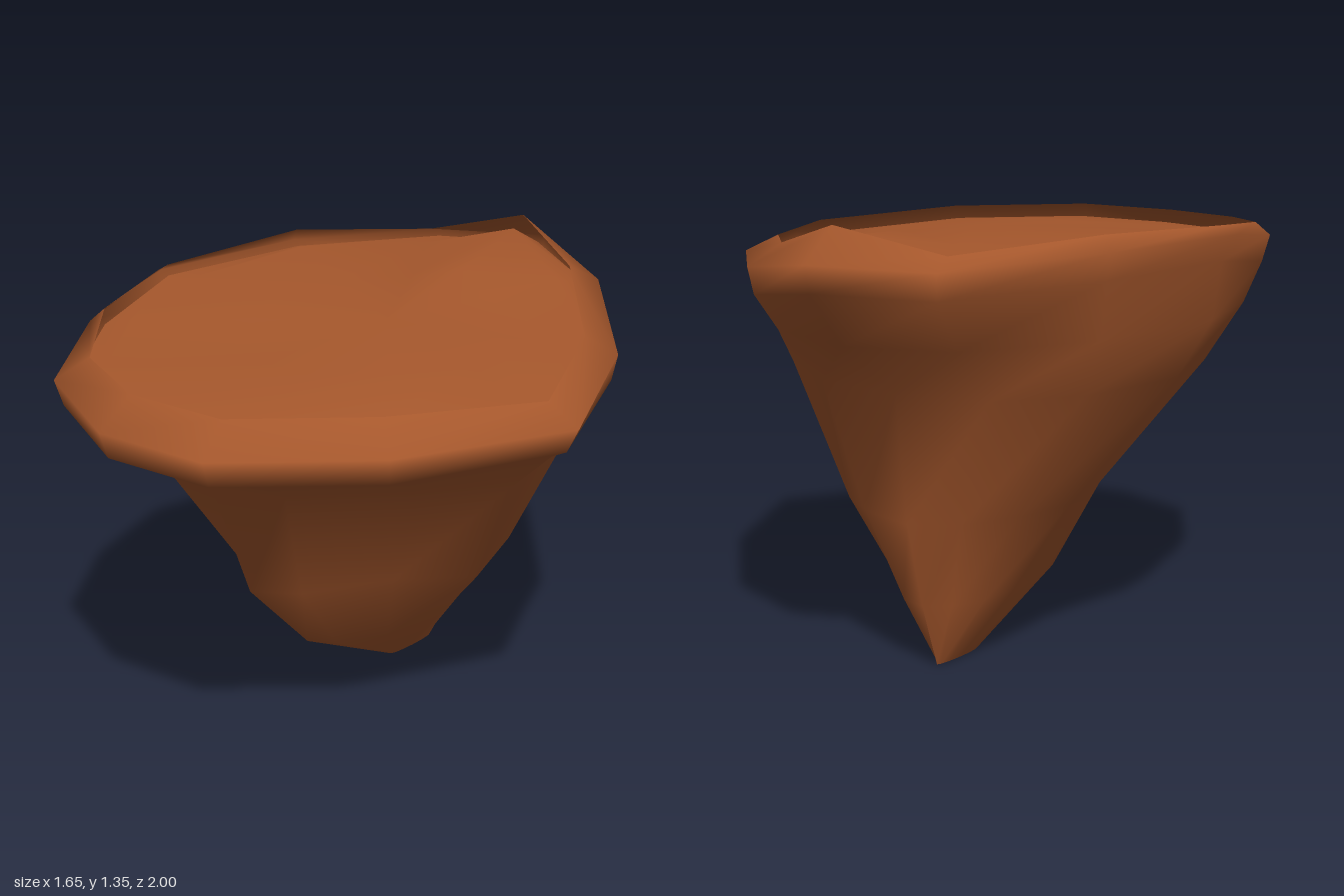
import * as THREE from 'three';

const COLUMNS = 12;

// Horizontal outlines as [x, z], starting at the +x tip and turning towards the front
const rim = [[.82, .14], [.56, .63], [.2, .97], [-.17, 1], [-.5, .87], [-.73, .52],
  [-.83, .14], [-.74, -.39], [-.5, -.86], [-.17, -1], [.16, -.85], [.57, -.39]];
const waist = [[.49, 0], [.31, .23], [.05, .5], [-.17, .58], [-.42, .54], [-.61, .35],
  [-.69, .05], [-.62, -.32], [-.45, -.55], [-.17, -.61], [.12, -.58], [.38, -.4]];
const low = [[.28, -.1], [.1, .08], [-.04, .34], [-.17, .43], [-.28, .32], [-.36, .14],
  [-.42, -.1], [-.38, -.3], [-.3, -.48], [-.17, -.56], [.03, -.5], [.17, -.4]];
const foot = [[.04, -.18], [-.01, -.02], [-.09, .13], [-.17, .18], [-.23, .1], [-.27, -.02],
  [-.29, -.2], [-.28, -.33], [-.24, -.44], [-.17, -.49], [-.08, -.46], [-.02, -.38]];
const rimHeight = [1.15, 1.14, 1.14, 1.14, 1.18, 1.22, 1.27, 1.27, 1.25, 1.26, 1.21, 1.17];
const topHeight = [1.2, 1.22, 1.22, 1.22, 1.23, 1.26, 1.295, 1.315, 1.28, 1.355, 1.27, 1.22];

const mix = THREE.MathUtils.lerp;
const level = (outline, y) => outline.map(([x, z]) => [x, y, z]);

// Skins closed rings of points, listed upwards, and joins the chosen ends to a point
function skin(rings, { bottom, top }) {
  const positions = rings.flat(2);
  const index = [];
  for (let r = 0; r < rings.length - 1; r++) {
    for (let i = 0; i < COLUMNS; i++) {
      const j = (i + 1) % COLUMNS;
      const a = r * COLUMNS + i, b = r * COLUMNS + j;
      const c = a + COLUMNS, d = b + COLUMNS;
      index.push(a, c, b, b, c, d);
    }
  }
  const tip = positions.length / 3;
  const last = (rings.length - 1) * COLUMNS;
  positions.push(...(bottom ?? top));
  for (let i = 0; i < COLUMNS; i++) {
    const j = (i + 1) % COLUMNS;
    if (bottom) index.push(tip, i, j);
    else index.push(tip, last + j, last + i);
  }
  const geometry = new THREE.BufferGeometry();
  geometry.setAttribute('position', new THREE.Float32BufferAttribute(positions, 3));
  geometry.setIndex(index);
  geometry.computeVertexNormals();
  return geometry;
}

// Rock wall from the narrow keel to the overhanging rim, open at the top
function makeWall() {
  const keel = rim.map((_, i) => {
    const a = i / COLUMNS * Math.PI * 2;
    return [-.17 + .012 * Math.cos(a), .005, -.32 + .1 * Math.sin(a)];
  });
  const lip = rim.map(([x, z], i) => [mix(waist[i][0], x, .6), 1.02, mix(waist[i][1], z, .6)]);
  const brow = rim.map(([x, z], i) => {
    const s = i % 6 === 0 ? .945 : .975;
    return [x * s, rimHeight[i] - .08, z * s];
  });
  const edge = rim.map(([x, z], i) => [x, rimHeight[i], z]);
  const bevel = rim.map(([x, z], i) => {
    const s = i > 4 && i < 8 ? .94 : .88;
    return [mix(-.17, x, s), topHeight[i], z * s];
  });
  return skin([keel, level(foot, .2), level(low, .46), level(waist, .85), lip, brow, edge, bevel],
    { bottom: [-.17, .003, -.32] });
}

// Gently domed ground, set a little below the bevel of the rim
function makeGround() {
  const border = rim.map(([x, z], i) => [x * .95, rimHeight[i] - .01, z * .95]);
  const shoulder = rim.map(([x, z], i) => [mix(-.17, x, .83), topHeight[i] - .035, z * .83]);
  const middle = rim.map(([x, z], i) => [x * .45, mix(1.25, topHeight[i] - .03, .5), z * .45]);
  return skin([border, shoulder, middle], { top: [0, 1.25, 0] });
}

export function createModel() {
  const group = new THREE.Group();
  group.name = 'floatingRock';
  const earth = new THREE.MeshStandardMaterial({ color: 0xa5572c, side: THREE.DoubleSide });
  earth.name = 'earthBrown';

  const wall = new THREE.Mesh(makeWall(), earth);
  wall.name = 'rockWall';
  const ground = new THREE.Mesh(makeGround(), earth);
  ground.name = 'ground';
  group.add(wall, ground);
  return group;
}
